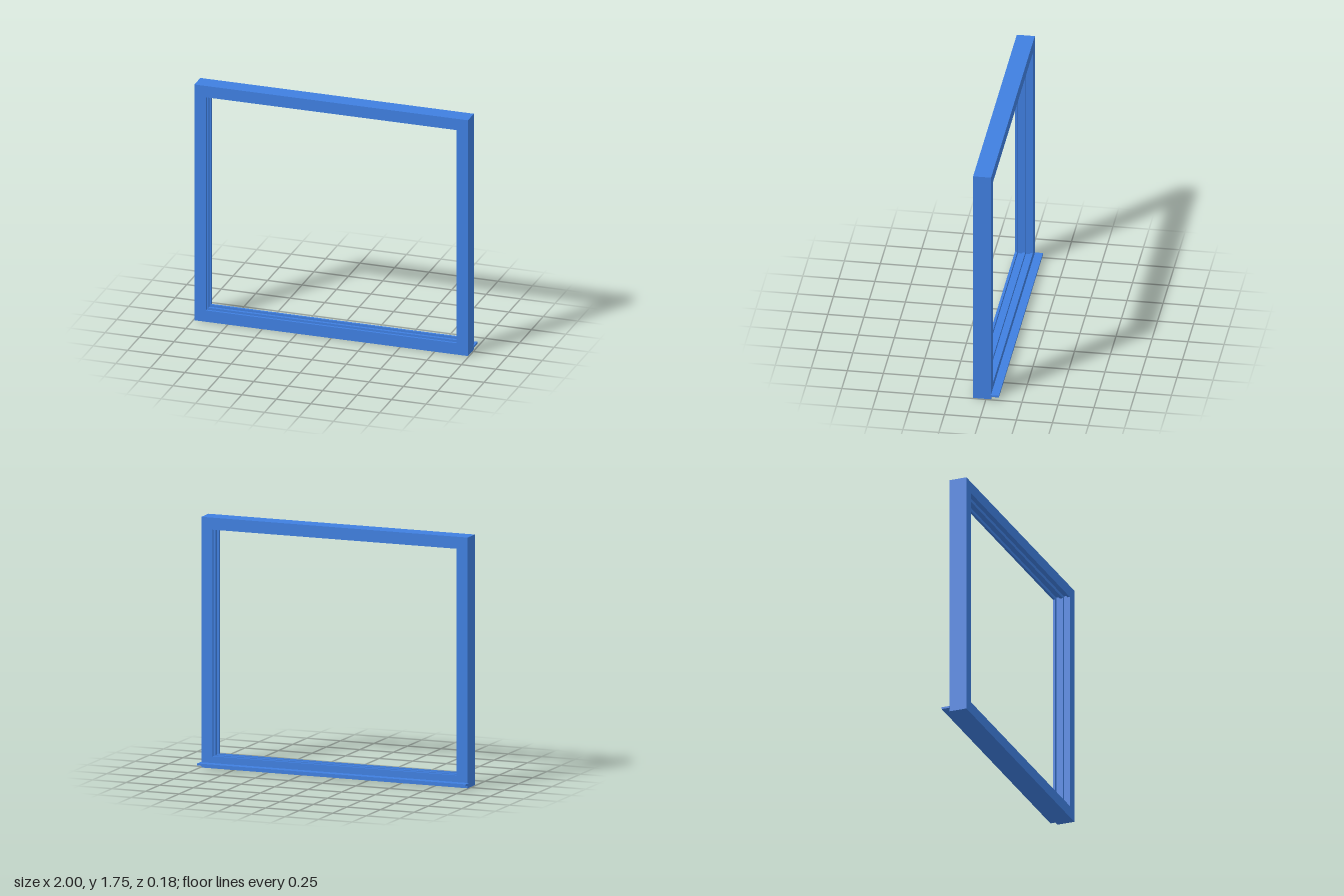
import * as THREE from 'three';

const HALF_W = 0.992, HEIGHT = 1.75;

// Sweeps a closed profile of [inset from outer edge, z] around the rectangle, mitred at the corners
function mitredFrame(profile) {
  const corners = [[-1, -1], [1, -1], [1, 1], [-1, 1]];
  const n = profile.length;
  const positions = [], index = [];
  for (const [sx, sy] of corners) {
    for (const [inset, z] of profile) {
      positions.push(sx * (HALF_W - inset), HEIGHT / 2 + sy * (HEIGHT / 2 - inset), z);
    }
  }
  for (let c = 0; c < 4; c++) {
    for (let i = 0; i < n; i++) {
      const j = (i + 1) % n, next = (c + 1) % 4;
      const a = c * n + i, b = next * n + i, d = next * n + j, e = c * n + j;
      index.push(a, b, d, a, d, e);
    }
  }
  const geometry = new THREE.BufferGeometry();
  geometry.setAttribute('position', new THREE.Float32BufferAttribute(positions, 3));
  geometry.setIndex(index);
  const flat = geometry.toNonIndexed();
  flat.computeVertexNormals();
  return flat;
}

export function createModel() {
  const group = new THREE.Group();
  group.name = 'windowFrame';
  const material = new THREE.MeshStandardMaterial({ color: 0x3f7fe0, flatShading: true });

  // Frame section: solid outside, two sliding tracks cut into the inner face
  const front = 0.09, back = -0.035, face = 0.084, trackFloor = 0.061;
  const profile = [[0, back], [0, front], [face, front]];
  for (const [z1, z0] of [[0.073, 0.038], [0.018, -0.018]]) {
    profile.push([face, z1], [trackFloor, z1], [trackFloor, z0], [face, z0]);
  }
  profile.push([face, back]);
  const frame = new THREE.Mesh(mitredFrame(profile), material);
  frame.name = 'frame';
  group.add(frame);

  // Thin ledge along the bottom of the back
  const sill = new THREE.Mesh(new THREE.BoxGeometry(2, 0.014, 0.06), material);
  sill.position.set(0, 0.03, -0.06);
  sill.name = 'sill';
  group.add(sill);

  return group;
}
